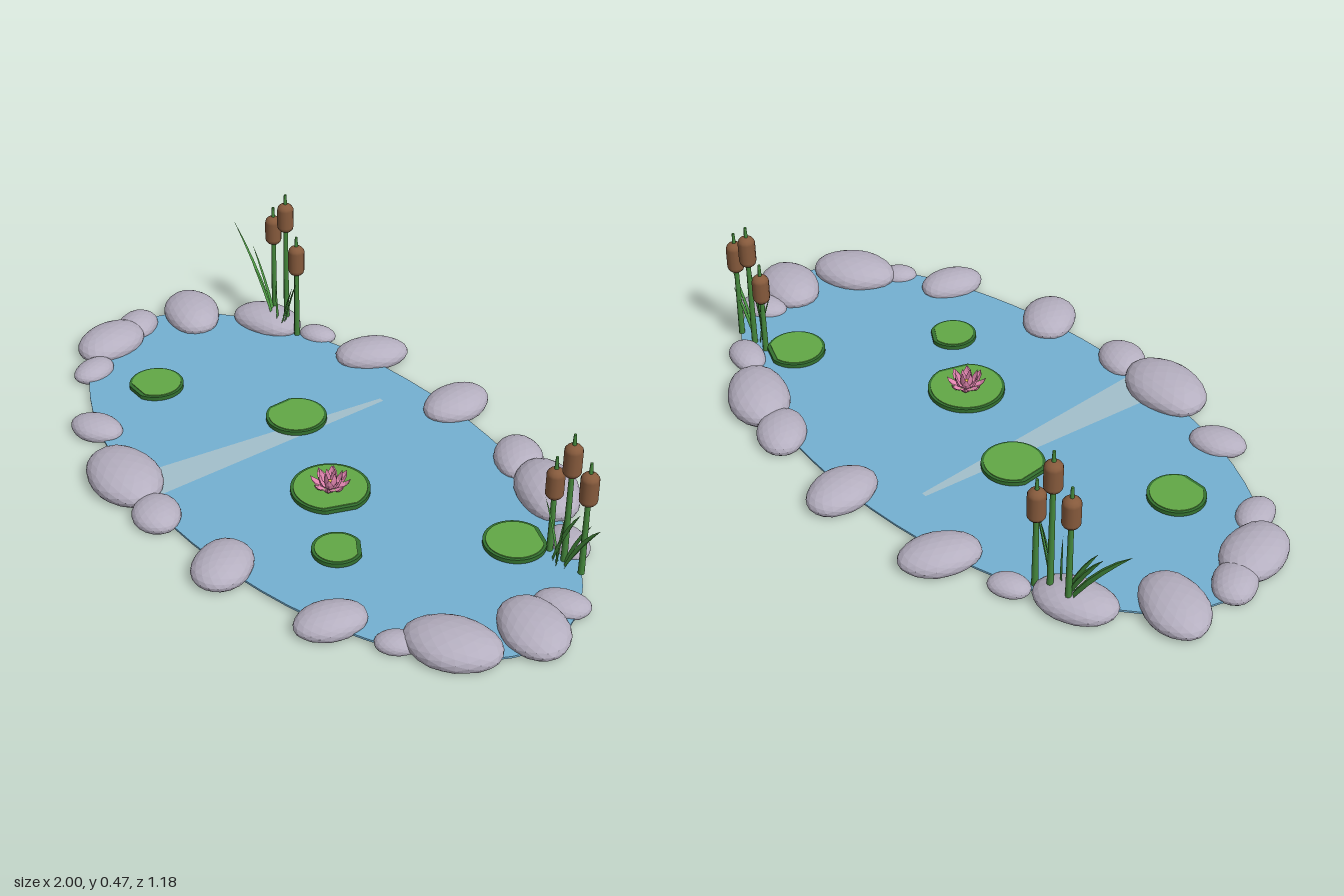
import * as THREE from 'three';
import { mergeVertices } from 'three/addons/utils/BufferGeometryUtils.js';

const mat = (name, color, extra = {}) => Object.assign(new THREE.MeshStandardMaterial({ color, ...extra }), { name });

export function createModel() {
  const root = new THREE.Group();
  root.name = 'pond';
  const M = {
    stone: mat('stone', 0xb5afc0, { flatShading: true }),
    water: mat('water', 0x74b0d2),
    shine: mat('shine', 0xa2bfcb, { side: THREE.DoubleSide }),
    pad: mat('padGreen', 0x62a846),
    rim: mat('padRimGreen', 0x33702f),
    stem: mat('stemGreen', 0x45883c),
    leaf: mat('leafGreen', 0x4a9640, { side: THREE.DoubleSide, flatShading: true }),
    brown: mat('cattailBrown', 0x865a3c),
    pink: mat('petalPink', 0xe084ae, { side: THREE.DoubleSide, flatShading: true }),
    yellow: mat('flowerCentre', 0xe8c04a),
  };
  const add = (parent, name, geo, m, x = 0, y = 0, z = 0) => {
    const mesh = new THREE.Mesh(geo, m);
    mesh.name = name;
    mesh.position.set(x, y, z);
    parent.add(mesh);
    return mesh;
  };

  // Water: thin oval sheet
  const water = add(root, 'water', new THREE.CylinderGeometry(1, 1, 0.006, 64), M.water, -0.01, 0.01, 0.01);
  water.scale.set(0.95, 1, 0.48);

  // Light streaks lying on the upper and lower water faces
  const streak = (name, pts, y) => {
    const shape = new THREE.Shape(pts.map(([x, z]) => new THREE.Vector2(x, -z)));
    add(root, name, new THREE.ShapeGeometry(shape).rotateX(-Math.PI / 2), M.shine, 0, y, 0);
  };
  const wedge = [[-0.16, -0.33], [-0.145, -0.33], [-0.14, 0.45], [-0.26, 0.45]];
  streak('shineTop', wedge, 0.0145);
  streak('shineUnder', wedge, 0.0055);
  streak('shineUnderBack', [[0.33, 0.16], [0.345, 0.16], [0.40, -0.42], [0.30, -0.44]], 0.0055);

  // Rim stones: x, z, long radius, short radius, turn, height
  const stones = [
    [-0.89, -0.145, 0.12, 0.085, -0.35, 0.07], [-0.715, -0.315, 0.115, 0.075, 0.4, 0.065],
    [-0.56, -0.395, 0.058, 0.042, 0.5, 0.04], [-0.365, -0.455, 0.112, 0.075, 1.15, 0.065],
    [0, -0.488, 0.108, 0.079, 1.65, 0.065], [0.31, -0.455, 0.095, 0.07, -0.7, 0.06],
    [0.48, -0.41, 0.132, 0.088, -0.45, 0.08], [0.675, -0.31, 0.074, 0.05, -0.25, 0.045],
    [0.85, -0.125, 0.075, 0.052, 0.6, 0.045], [0.88, 0.0, 0.117, 0.088, -0.3, 0.07],
    [0.81, 0.2, 0.128, 0.09, 0.55, 0.075], [0.715, 0.3, 0.056, 0.042, 0.8, 0.04],
    [0.56, 0.385, 0.098, 0.068, 1.3, 0.06], [0.22, 0.48, 0.102, 0.08, -0.95, 0.065],
    [-0.07, 0.5, 0.08, 0.067, -0.4, 0.055], [-0.26, 0.485, 0.138, 0.098, -0.1, 0.08],
    [-0.52, 0.42, 0.08, 0.058, 0.45, 0.05], [-0.79, 0.27, 0.07, 0.05, -1.25, 0.045],
    [-0.892, 0.15, 0.118, 0.083, -1.3, 0.07], [-0.933, 0.03, 0.077, 0.06, -1.0, 0.055],
  ];
  const stoneBase = mergeVertices(new THREE.IcosahedronGeometry(1, 3).deleteAttribute('normal').deleteAttribute('uv'));
  const rim = new THREE.Group();
  rim.name = 'rimStones';
  root.add(rim);
  stones.forEach(([x, z, a, b, turn, h], i) => {
    const geo = stoneBase.clone(), p = geo.attributes.position;
    const mid = h * 0.33;
    for (let k = 0; k < p.count; k++) {
      const u = p.getX(k), v = p.getY(k), w = p.getZ(k);
      const bump = 1 + 0.025 * Math.sin(4 * u + i * 2.1) * Math.cos(3 * w + i);
      p.setXYZ(k, u * a * bump, Math.max(0, mid + v * (h - mid)), w * b * bump);
    }
    geo.computeVertexNormals();
    add(rim, 'stone', geo, M.stone, x, 0, z).rotation.y = turn;
  });

  // Lily pads: x, z, radius, notch direction (towards +z is positive)
  const sector = (r, depth, inset) => {
    const half = 0.4, s = new THREE.Shape();
    s.moveTo(-inset, 0);
    s.absarc(0, 0, r, half + inset / r, Math.PI * 2 - half - inset / r, false);
    s.closePath();
    return new THREE.ExtrudeGeometry(s, { depth, bevelEnabled: false, curveSegments: 28 }).rotateX(-Math.PI / 2);
  };
  [[-0.22, -0.07, 0.088, 3.1], [-0.605, 0.165, 0.08, 1.57], [0.12, 0.06, 0.11, 0.34],
    [0.345, 0.205, 0.068, -1.0], [0.595, -0.19, 0.085, -1.2]].forEach(([x, z, r, dir]) => {
    const pad = new THREE.Group();
    pad.name = 'lilyPad';
    pad.position.set(x, 0.016, z);
    pad.rotation.y = -dir;
    add(pad, 'padRim', sector(r, 0.012, 0), M.rim);
    add(pad, 'padTop', sector(r - 0.008, 0.003, 0.008), M.pad, 0, 0.0115, 0);
    root.add(pad);
  });

  // Folded, tapering blade along a curve; used for reeds and petals
  const blade = (from, ctrl, to, width, side, fold, widths) => {
    const curve = new THREE.QuadraticBezierCurve3(from, ctrl, to), pos = [], idx = [];
    widths.forEach((f, i) => {
      const t = i / (widths.length - 1), c = curve.getPoint(t);
      for (const s of [-1, 0, 1]) {
        const q = c.clone().addScaledVector(side, s * f * width / 2).addScaledVector(fold, s ? 0 : f);
        pos.push(q.x, q.y, q.z);
      }
      if (i) for (const k of [0, 1]) {
        const a = i * 3 - 3 + k;
        idx.push(a, a + 1, a + 3, a + 1, a + 4, a + 3);
      }
    });
    const g = new THREE.BufferGeometry();
    g.setAttribute('position', new THREE.Float32BufferAttribute(pos, 3));
    g.setIndex(idx);
    g.computeVertexNormals();
    return g;
  };
  const V = (x, y, z) => new THREE.Vector3(x, y, z);

  // Water lily: rings of pointed petals around a small centre
  const lily = new THREE.Group();
  lily.name = 'waterLily';
  lily.position.set(0.12, 0.031, 0.06);
  root.add(lily);
  [[8, 0.056, 0.03, 0], [6, 0.036, 0.044, 0.3], [4, 0.016, 0.05, 0.1]].forEach(([n, reach, high, off]) => {
    const geo = blade(V(0.006, 0, 0), V(reach * 0.8, 0.004, 0), V(reach, high, 0), 0.028,
      V(0, 0, 1), V(0.003, -0.005, 0), [0.3, 0.8, 1, 0.7, 0.02]);
    for (let i = 0; i < n; i++) add(lily, 'petal', geo, M.pink).rotation.y = off + i * Math.PI * 2 / n;
  });
  add(lily, 'flowerCentre', new THREE.SphereGeometry(0.009, 10, 8), M.yellow, 0, 0.012, 0);

  // Cattails: stalk x, head bottom, head top, tip; leaves: base x, base z, tip x, y, z
  const clump = (name, z, ground, stalks, leaves) => {
    const g = new THREE.Group();
    g.name = name;
    root.add(g);
    stalks.forEach(([x, lo, hi, tip]) => {
      add(g, 'stalk', new THREE.CylinderGeometry(0.007, 0.009, lo - ground + 0.01, 8), M.stem, x, (lo + ground + 0.01) / 2, z);
      add(g, 'stalkTip', new THREE.CylinderGeometry(0.004, 0.006, tip - hi + 0.01, 8), M.stem, x, (tip + hi - 0.01) / 2, z);
      const r = 0.025, len = hi - lo;
      add(g, 'cattailHead', new THREE.CapsuleGeometry(r, len - 1.1 * r, 4, 12).scale(1, len / (len + 0.9 * r), 1),
        M.brown, x, (lo + hi) / 2, z);
    });
    leaves.forEach(([bx, bz, tx, ty, tz]) => {
      const a = V(bx, ground, bz), b = V(tx, ty, tz);
      const c = V(bx + (tx - bx) * 0.4, ground + (ty - ground) * 0.56, bz + (tz - bz) * 0.4);
      const dir = b.clone().sub(a).normalize();
      const side = V(0.75, 0, 0.66).cross(dir).cross(dir).normalize();
      const fold = side.clone().cross(dir).multiplyScalar(0.005);
      add(g, 'reedLeaf', blade(a, c, b, 0.026, side, fold, [0.7, 0.95, 1, 0.85, 0.55, 0.03]), M.leaf);
    });
  };
  clump('leftCattails', -0.345, 0.012,
    [[-0.72, 0.28, 0.375, 0.405], [-0.655, 0.35, 0.445, 0.475], [-0.6, 0.225, 0.325, 0.355]],
    [[-0.70, -0.335, -0.90, 0.29, -0.32], [-0.69, -0.33, -0.82, 0.235, -0.335], [-0.68, -0.32, -0.77, 0.2, -0.30],
      [-0.66, -0.335, -0.525, 0.245, -0.29], [-0.655, -0.32, -0.575, 0.2, -0.31], [-0.67, -0.32, -0.65, 0.18, -0.3]]);
  clump('rightCattails', -0.25, 0.012,
    [[0.665, 0.18, 0.275, 0.31], [0.72, 0.28, 0.38, 0.41], [0.785, 0.23, 0.33, 0.36]],
    [[0.70, -0.225, 0.82, 0.245, -0.19], [0.74, -0.23, 0.865, 0.21, -0.22], [0.71, -0.235, 0.66, 0.19, -0.225],
      [0.72, -0.22, 0.76, 0.2, -0.2], [0.73, -0.24, 0.80, 0.17, -0.255]]);
  return root;
}
